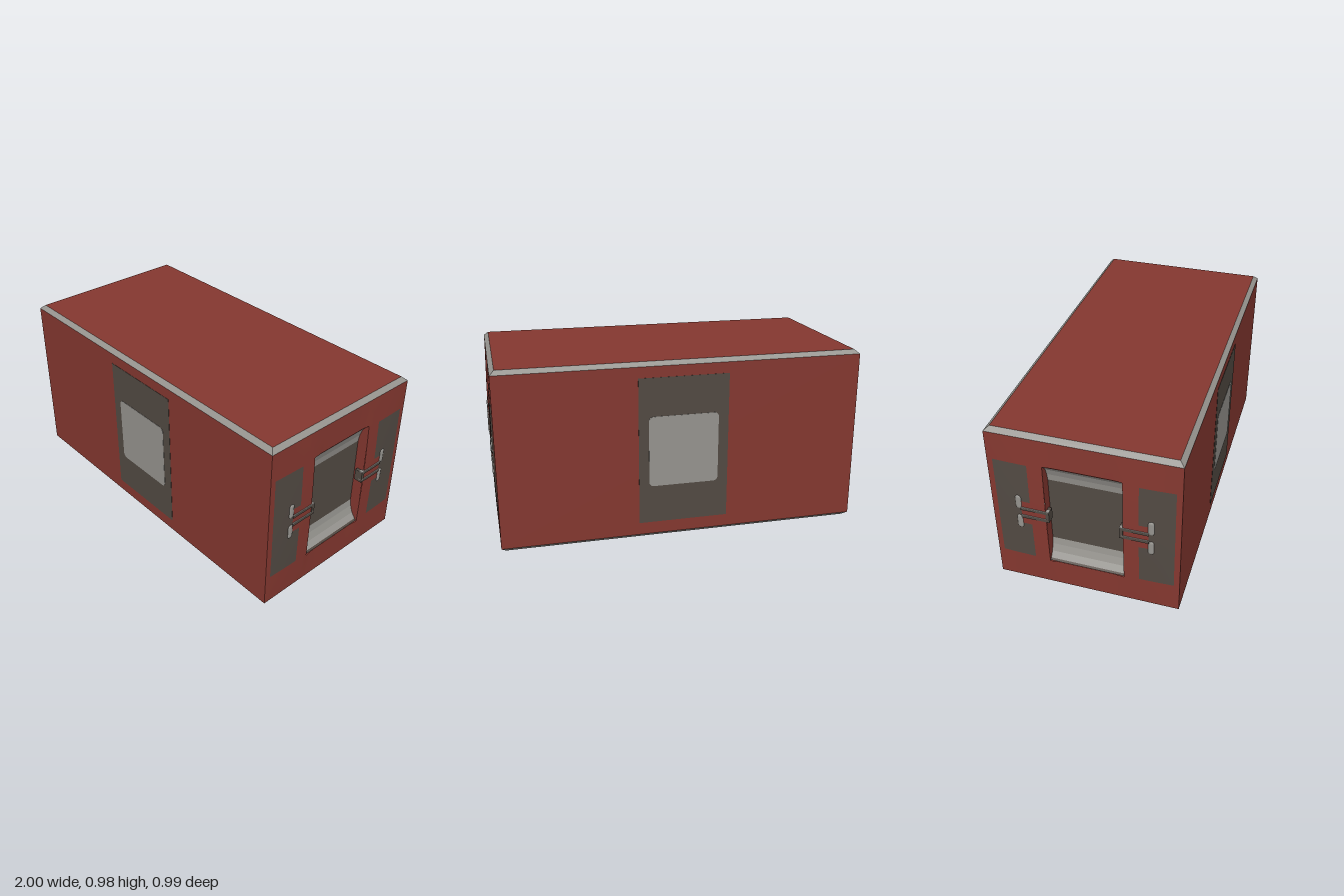
import * as THREE from 'three';

const W = 0.985, D = 0.49, H = 0.982, CH = 0.022, IN = 0.025;
const RZ = 0.2, RY0 = 0.18, RY1 = 0.81; // end recess opening

const mat = (name, color, side = THREE.FrontSide) => {
  const m = new THREE.MeshStandardMaterial({ color, side });
  m.name = name;
  return m;
};

// Flat-shaded surface from a list of four-cornered faces
function quads(list) {
  const p = [];
  for (const [a, b, c, d] of list) p.push(...a, ...b, ...c, ...a, ...c, ...d);
  const g = new THREE.BufferGeometry();
  g.setAttribute('position', new THREE.Float32BufferAttribute(p, 3));
  g.computeVertexNormals();
  return g;
}

const ring = (w, d, y) => [[w, y, d], [w, y, -d], [-w, y, -d], [-w, y, d]];

// Faces joining a lower ring to an upper one
const band = (lo, hi, sides = [0, 1, 2, 3]) => sides.map(i => {
  const j = (i + 1) % 4;
  return [lo[i], lo[j], hi[j], hi[i]];
});

// Gentle outward swell of the end face
function endX(y, z) {
  const mid = (H / 2), az = Math.abs(z);
  const fy = Math.max(0, 1 - ((y - mid) / (mid - CH)) ** 2);
  const fz = Math.min(1, Math.max(0, (D - az) / 0.25));
  const nearRecess = az < RZ - 0.001 ? 0.2 : 1;
  return W + 0.011 * fy * Math.sin(fz * Math.PI / 2) * nearRecess;
}

// Grid lines with extra steps between the named breaks
function lines(breaks, step) {
  const out = [breaks[0]];
  for (let i = 1; i < breaks.length; i++) {
    const a = breaks[i - 1], b = breaks[i], n = Math.ceil((b - a) / step - 1e-6);
    for (let k = 1; k <= n; k++) out.push(a + (b - a) * k / n);
  }
  return out;
}

// End face with a rectangular opening; group 0 is shell, group 1 is dark panel
function endFace() {
  const half = [0.2, 0.28, 0.33, 0.46, D];
  const zs = lines([...half.map(v => -v).reverse(), ...half], 0.05);
  const ys = lines([CH, RY0, 0.19, 0.42, 0.565, 0.8, RY1, H - CH], 0.05);
  const pos = [], cells = [[], []], n = zs.length;
  for (const y of ys) for (const z of zs) pos.push(endX(y, z), y, z);
  for (let j = 0; j < ys.length - 1; j++) for (let i = 0; i < n - 1; i++) {
    const z = Math.abs(zs[i] + zs[i + 1]) / 2, y = (ys[j] + ys[j + 1]) / 2;
    if (z < RZ && y > RY0 && y < RY1) continue;
    const panel = z > 0.28 && z < 0.46 && y > 0.19 && y < 0.8;
    const notch = z < 0.33 && y > 0.42 && y < 0.565;
    const a = j * n + i, b = a + 1, d = a + n, c = d + 1;
    cells[panel && !notch ? 1 : 0].push(a, d, c, a, c, b);
  }
  const g = new THREE.BufferGeometry();
  g.setAttribute('position', new THREE.Float32BufferAttribute(pos, 3));
  g.setIndex([...cells[0], ...cells[1]]);
  g.addGroup(0, cells[0].length, 0);
  g.addGroup(cells[0].length, cells[1].length, 1);
  g.computeVertexNormals();
  return g;
}

function roundedPlate(w, h, r, depth) {
  const s = new THREE.Shape(), x = w / 2, y = h / 2;
  s.absarc(x - r, y - r, r, 0, Math.PI / 2);
  s.absarc(-x + r, y - r, r, Math.PI / 2, Math.PI);
  s.absarc(-x + r, -y + r, r, Math.PI, Math.PI * 1.5);
  s.absarc(x - r, -y + r, r, Math.PI * 1.5, Math.PI * 2);
  return new THREE.ExtrudeGeometry(s, { depth, bevelEnabled: false, curveSegments: 8 });
}

export function createModel() {
  const red = mat('red shell', 0x853830, THREE.DoubleSide);
  const dark = mat('dark panel', 0x524a43, THREE.DoubleSide);
  const grey = mat('grey metal', 0x96948f, THREE.DoubleSide);
  const root = new THREE.Group();
  root.name = 'cargoContainer';
  const add = (parent, name, geo, m, x = 0, y = 0, z = 0) => {
    const mesh = new THREE.Mesh(geo, m);
    mesh.name = name;
    mesh.position.set(x, y, z);
    parent.add(mesh);
    return mesh;
  };

  // Shell: long sides, top, bottom and chamfered rims
  const r0 = ring(W - IN, D - IN, 0), r1 = ring(W, D, CH);
  const r2 = ring(W, D, H - CH), r3 = ring(W - IN, D - IN, H);
  add(root, 'shell', quads([...band(r1, r2, [1, 3]), r3, [...r0].reverse()]), red);
  add(root, 'topRim', quads(band(r2, r3)), grey);
  add(root, 'bottomRim', quads(band(r0, r1)), grey);

  // Side panels with rounded plates
  for (const s of [1, -1]) {
    const side = new THREE.Group();
    side.name = s > 0 ? 'frontPanel' : 'backPanel';
    side.rotation.y = s > 0 ? 0 : Math.PI;
    add(side, 'darkPanel', new THREE.BoxGeometry(0.49, 0.81, 0.002), dark, 0, 0.495, D + 0.0005);
    add(side, 'plate', roundedPlate(0.38, 0.39, 0.025, 0.002), grey, 0, 0.495, D + 0.001);
    root.add(side);
  }

  // Recess profile as [y, x], from the upper lip to the lower lip
  const profile = [[RY1, 0.986], [0.802, 0.98], [0.77, 0.956], [0.73, 0.942], [0.69, 0.936],
    [0.3, 0.936], [0.26, 0.942], [0.22, 0.956], [0.19, 0.978], [RY0, 0.986]];
  const strip = (a, b) => {
    const list = [];
    for (let i = a; i < b; i++) {
      const [y0, x0] = profile[i], [y1, x1] = profile[i + 1];
      list.push([[x0, y0, RZ], [x1, y1, RZ], [x1, y1, -RZ], [x0, y0, -RZ]]);
    }
    return quads(list);
  };
  const wallFaces = [];
  for (const z of [RZ, -RZ]) for (let i = 0; i < profile.length - 1; i++) {
    const [y0, x0] = profile[i], [y1, x1] = profile[i + 1];
    const f = [[x0, y0, z], [x1, y1, z], [endX(y1, z), y1, z], [endX(y0, z), y0, z]];
    wallFaces.push(z > 0 ? f : f.reverse());
  }
  const walls = quads(wallFaces), face = endFace();

  // Both ends are alike
  for (const s of [1, -1]) {
    const end = new THREE.Group();
    end.name = s > 0 ? 'leftEnd' : 'rightEnd';
    end.rotation.y = s > 0 ? 0 : Math.PI;
    add(end, 'endFace', face, [red, dark]);
    add(end, 'recessWalls', walls, red);
    add(end, 'upperLip', strip(0, 1), red);
    add(end, 'upperCove', strip(1, 4), grey);
    add(end, 'recessFloor', strip(4, 5), dark);
    add(end, 'lowerCove', strip(5, 8), grey);
    add(end, 'lowerLip', strip(8, 9), dark);

    // Latches: two arms, a hook into the recess and two rounded pads
    for (const k of [1, -1]) {
      const latch = new THREE.Group();
      latch.name = 'latch';
      for (const y of [0.468, 0.518]) {
        add(latch, 'arm', new THREE.BoxGeometry(0.02, 0.014, 0.15), dark, 0.99, y, k * 0.257);
        add(latch, 'armEdge', new THREE.BoxGeometry(0.02, 0.004, 0.15), grey, 0.99, y + 0.008, k * 0.257);
      }
      add(latch, 'hook', new THREE.BoxGeometry(0.045, 0.064, 0.018), dark, 0.9775, 0.493, k * 0.191);
      for (const y of [0.43, 0.558]) {
        const pad = add(latch, 'pad', new THREE.CapsuleGeometry(0.017, 0.054, 6, 12), grey, 0.99, y, k * 0.342);
        pad.scale.x = 0.55;
      }
      end.add(latch);
    }
    root.add(end);
  }
  return root;
}
